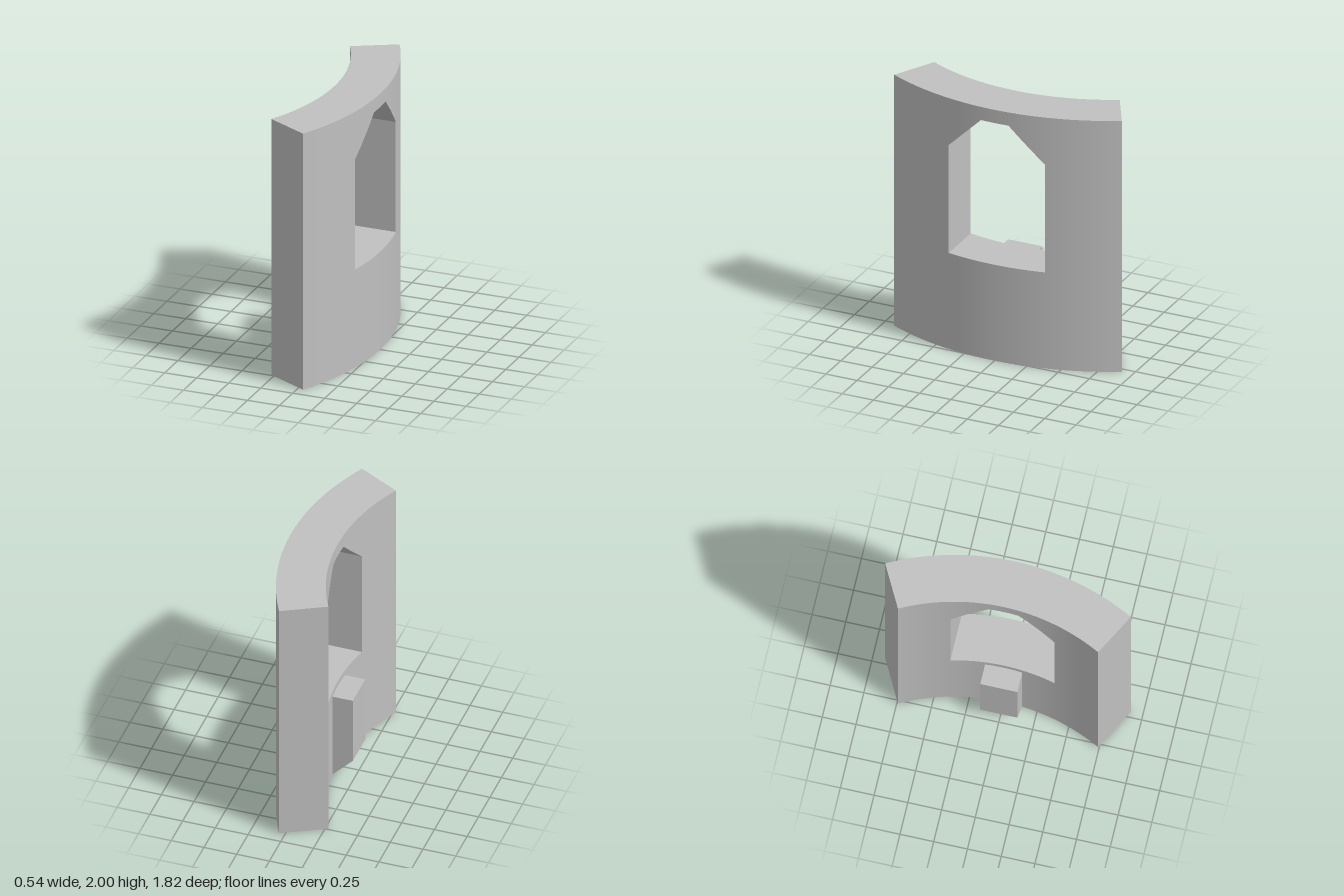
import * as THREE from 'three';

const CX = -1.675, R_OUT = 1.945, R_IN = 1.585; // arc centre and radii
const HALF = 0.487;                             // half angle of the arc
const HEIGHT = 2, SILL = 0.765, SPRING = 1.625, HEAD = 1.895;
const WIN = 0.385, HEAD_HALF = 0.11;            // window half widths

// Underside of the window head at a given z
const headY = (z) => {
  const t = (WIN - Math.abs(z)) / (WIN - HEAD_HALF);
  return SPRING + (HEAD - SPRING) * Math.min(1, t);
};

// Stations along the wall: window cuts run straight through, wall ends are radial
function makeStations() {
  const endOut = R_OUT * Math.sin(HALF), endIn = R_IN * Math.sin(HALF);
  const stops = [[-endOut, -endIn], [-WIN, -WIN], [-HEAD_HALF, -HEAD_HALF],
    [HEAD_HALF, HEAD_HALF], [WIN, WIN], [endOut, endIn]];
  const counts = [16, 8, 8, 8, 16];
  const list = [];
  counts.forEach((n, k) => {
    for (let i = k ? 1 : 0; i <= n; i++) {
      const t = i / n;
      list.push({
        out: THREE.MathUtils.lerp(stops[k][0], stops[k + 1][0], t),
        in: THREE.MathUtils.lerp(stops[k][1], stops[k + 1][1], t),
      });
    }
  });
  return list;
}

function wallGeometry() {
  const pos = [], curved = []; // curved: +1 outer face, -1 inner face, 0 flat
  const quad = (a, b, c, d, kind = 0) => {
    for (const p of [a, b, c, a, c, d]) { pos.push(...p); curved.push(kind); }
  };
  const outer = (s, y) => [CX + Math.sqrt(R_OUT ** 2 - s.out ** 2), y, s.out];
  const inner = (s, y) => [CX + Math.sqrt(R_IN ** 2 - s.in ** 2), y, s.in];

  // One slice of wall between two stations
  const slice = (s, e, lowS, lowE, top) => {
    quad(outer(e, lowE), outer(s, lowS), outer(s, top), outer(e, top), 1);
    quad(inner(s, lowS), inner(e, lowE), inner(e, top), inner(s, top), -1);
    quad(outer(s, top), inner(s, top), inner(e, top), outer(e, top));
    quad(outer(s, lowS), outer(e, lowE), inner(e, lowE), inner(s, lowS));
  };
  // Upright face across the wall thickness, facing +z or -z
  const cheek = (s, y0, y1, dir) => {
    const c = [inner(s, y0), outer(s, y0), outer(s, y1), inner(s, y1)];
    quad(...(dir > 0 ? c : c.reverse()));
  };

  const st = makeStations();
  for (let i = 0; i < st.length - 1; i++) {
    const s = st[i], e = st[i + 1];
    if (Math.abs(s.out + e.out) / 2 < WIN) {
      slice(s, e, 0, 0, SILL);
      slice(s, e, headY(s.out), headY(e.out), HEIGHT);
    } else slice(s, e, 0, 0, HEIGHT);
  }
  cheek(st[0], 0, HEIGHT, -1);
  cheek(st[st.length - 1], 0, HEIGHT, 1);
  cheek({ out: -WIN, in: -WIN }, SILL, SPRING, 1);
  cheek({ out: WIN, in: WIN }, SILL, SPRING, -1);

  const geo = new THREE.BufferGeometry();
  geo.setAttribute('position', new THREE.Float32BufferAttribute(pos, 3));
  geo.computeVertexNormals();
  // Smooth radial normals on the curved faces
  const p = geo.attributes.position, n = geo.attributes.normal, v = new THREE.Vector3();
  curved.forEach((kind, i) => {
    if (!kind) return;
    v.set(p.getX(i) - CX, 0, p.getZ(i)).normalize().multiplyScalar(kind);
    n.setXYZ(i, v.x, v.y, v.z);
  });
  return geo;
}

// Block under the window with a sloping underside
function bracketGeometry() {
  const width = 0.275;
  const shape = new THREE.Shape([[-0.25, 0.18], [-0.085, 0.01], [-0.04, 0.01],
    [-0.04, 0.72], [-0.25, 0.72]].map(([x, y]) => new THREE.Vector2(x, y)));
  return new THREE.ExtrudeGeometry(shape, { depth: width, bevelEnabled: false })
    .translate(0, 0, -width / 2);
}

export function createModel() {
  const stone = new THREE.MeshStandardMaterial({ color: 0xc0c0c0 });
  stone.name = 'grey stone';
  const model = new THREE.Group();
  model.name = 'curvedWindowWall';
  const add = (name, geo) => {
    const mesh = new THREE.Mesh(geo, stone);
    mesh.name = name;
    model.add(mesh);
  };
  add('curvedWall', wallGeometry());
  add('bracket', bracketGeometry());
  return model;
}
